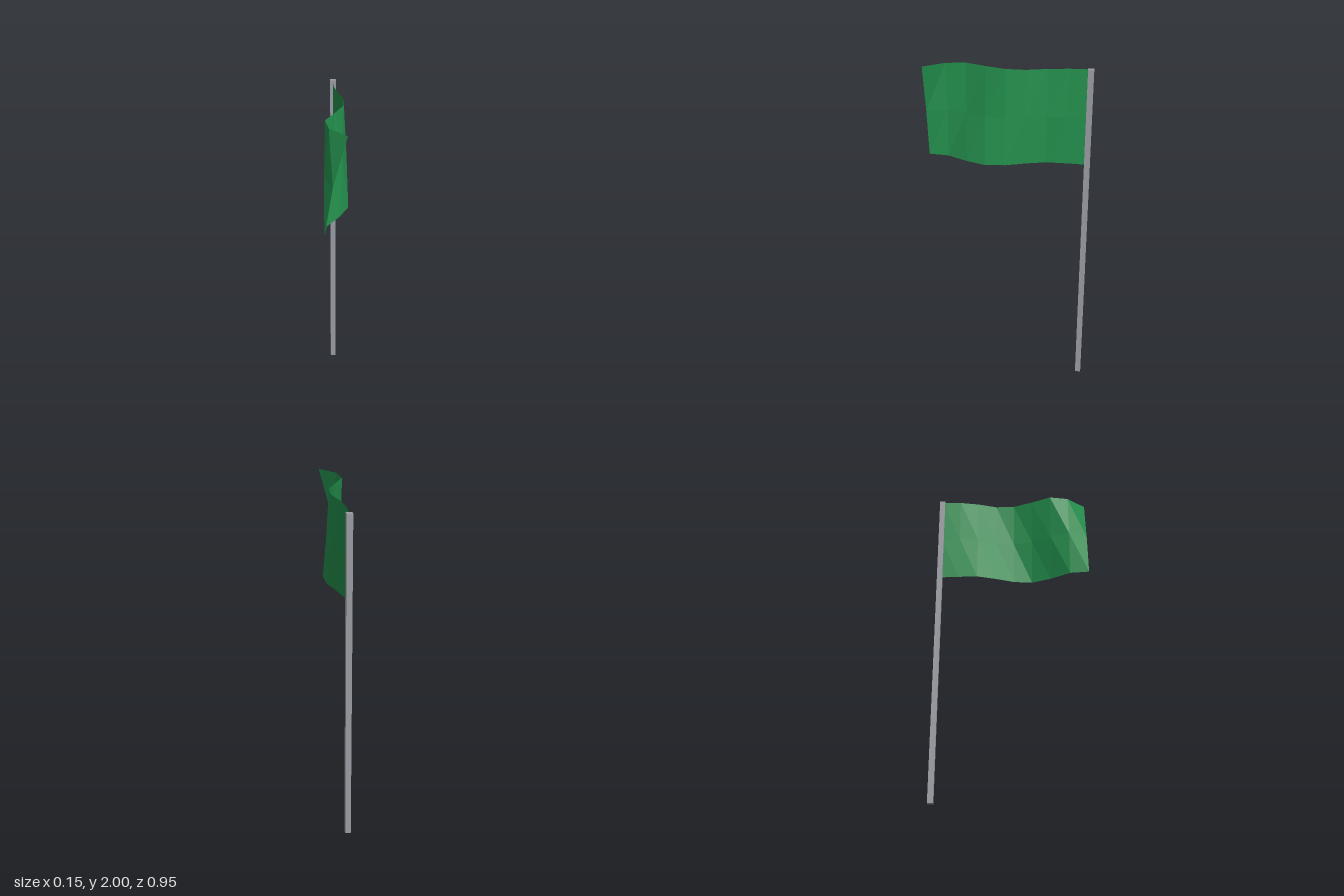
import * as THREE from 'three';

export function createModel() {
  const model = new THREE.Group();

  const poleGrey = new THREE.MeshStandardMaterial({ color: 0x9b9ca4 });
  poleGrey.name = 'pole grey';
  const flagGreen = new THREE.MeshStandardMaterial({
    color: 0x25944f, flatShading: true, side: THREE.DoubleSide,
  });
  flagGreen.name = 'flag green';

  // Square pole
  const pole = new THREE.Mesh(new THREE.BoxGeometry(0.034, 2, 0.034), poleGrey);
  pole.name = 'pole';
  pole.position.set(0.018, 1, -0.458);
  model.add(pole);

  // Sideways sway of the cloth from the pole to the free end: top, middle, bottom row
  const sway = [
    [0.018, 0.015, 0.03, 0.06, 0.052, 0.0, -0.06, -0.045, 0.045],
    [0.018, 0.012, 0.015, 0.055, 0.07, 0.04, -0.03, -0.072, -0.03],
    [0.018, 0.008, 0.0, 0.03, 0.068, 0.075, 0.02, -0.057, -0.075],
  ];

  // Waving cloth: a thin grid whose columns are pushed along x
  const cloth = new THREE.PlaneGeometry(0.93, 0.56, 8, 2);
  cloth.rotateY(Math.PI / 2);
  cloth.translate(0, 1.72, 0.01);
  const position = cloth.attributes.position;
  for (let i = 0; i < position.count; i++) {
    const row = Math.floor(i / 9);
    const column = 8 - (i % 9);
    position.setX(i, sway[row][column]);
  }
  cloth.computeVertexNormals();
  const flag = new THREE.Mesh(cloth, flagGreen);
  flag.name = 'flag';
  model.add(flag);

  return model;
}
